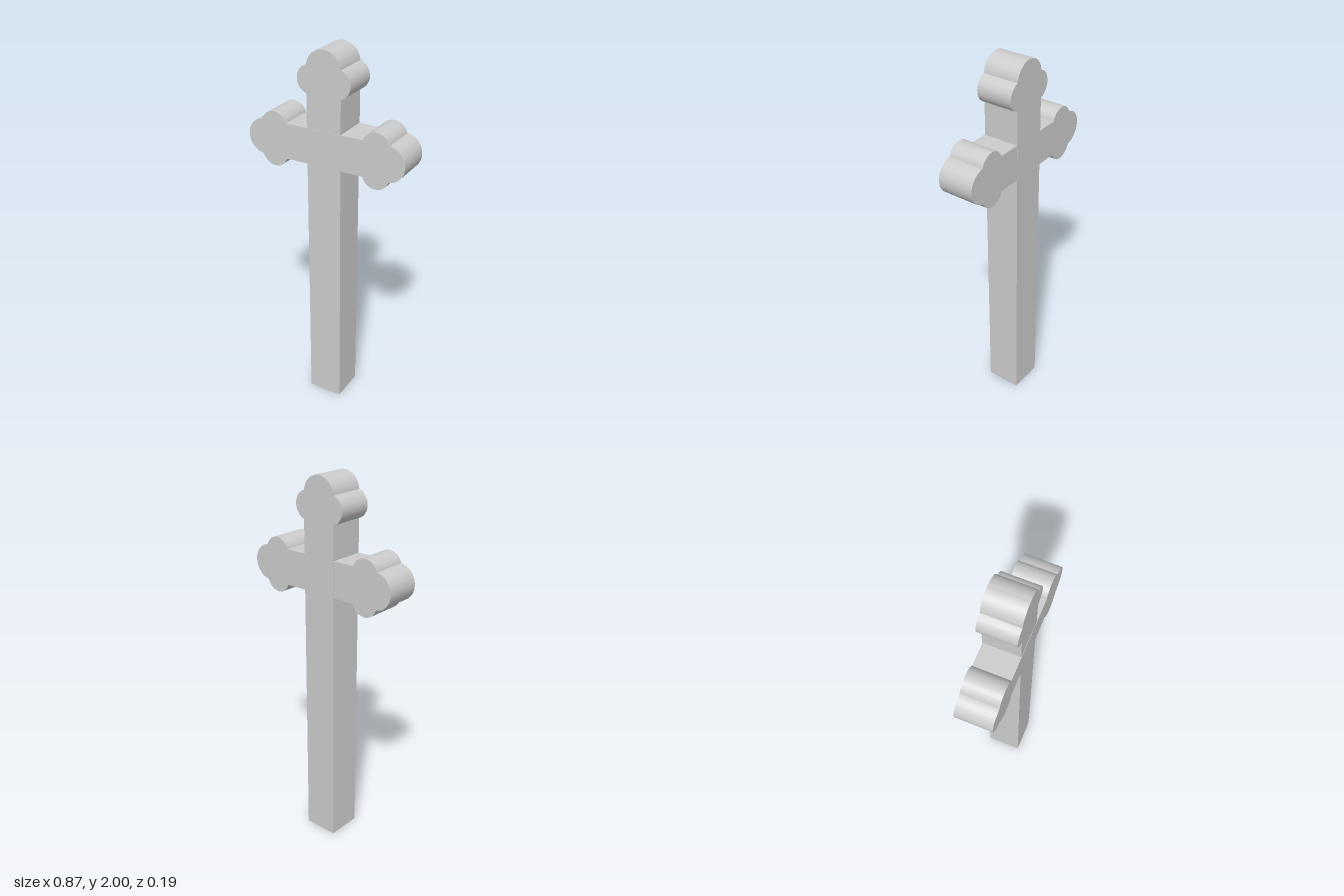
import * as THREE from 'three';
import { toCreasedNormals } from 'three/addons/utils/BufferGeometryUtils.js';

const HALF = 0.094;                        // half width of post and crossbar
const END_R = 0.093, SIDE_R = 0.073;       // trefoil lobe radii
const SIDE_OUT = 0.072, END_AHEAD = 0.06;  // lobe centres relative to the trefoil base

// Adds a three-lobed end at (x, y), pointing up after turning by `turn`, counterclockwise
function addTrefoil(shape, x, y, turn) {
  const d = Math.hypot(SIDE_OUT, END_AHEAD);
  const toEnd = Math.atan2(END_AHEAD, -SIDE_OUT);
  // angles at which the side lobe leaves the bar, and where the lobes meet
  const start = -Math.acos((HALF - SIDE_OUT) / SIDE_R);
  const sideMeet = toEnd - Math.acos((SIDE_R ** 2 + d * d - END_R ** 2) / (2 * SIDE_R * d));
  const endMeet = toEnd - Math.PI + Math.acos((END_R ** 2 + d * d - SIDE_R ** 2) / (2 * END_R * d));
  const arc = (u, v, r, a, b) => shape.absarc(
    x + u * Math.cos(turn) - v * Math.sin(turn),
    y + u * Math.sin(turn) + v * Math.cos(turn),
    r, a + turn, b + turn, false);
  arc(SIDE_OUT, 0, SIDE_R, start, sideMeet);
  arc(0, END_AHEAD, END_R, endMeet, Math.PI - endMeet);
  arc(-SIDE_OUT, 0, SIDE_R, Math.PI - sideMeet, Math.PI - start);
}

function extrudePart(name, shape, zOffset) {
  const depth = 0.19;
  const flat = new THREE.ExtrudeGeometry(shape, { depth, bevelEnabled: false, curveSegments: 28 });
  flat.translate(0, 0, zOffset - depth / 2);
  const mesh = new THREE.Mesh(toCreasedNormals(flat, 0.5), new THREE.MeshStandardMaterial({ color: 0xcccccc }));
  mesh.name = name;
  return mesh;
}

export function createModel() {
  const group = new THREE.Group();
  group.name = 'trefoilCross';

  // Upright post with a trefoil top
  const post = new THREE.Shape();
  post.moveTo(-HALF, 0);
  post.lineTo(HALF, 0);
  addTrefoil(post, 0, 1.847, 0);
  post.closePath();
  group.add(extrudePart('post', post, -0.001));

  // Crossbar with a trefoil at each end, set slightly forward of the post
  const bar = new THREE.Shape();
  bar.moveTo(0, 1.509 - HALF);
  addTrefoil(bar, 0.284, 1.509, -Math.PI / 2);
  addTrefoil(bar, -0.284, 1.509, Math.PI / 2);
  bar.closePath();
  group.add(extrudePart('crossbar', bar, 0.001));

  return group;
}
